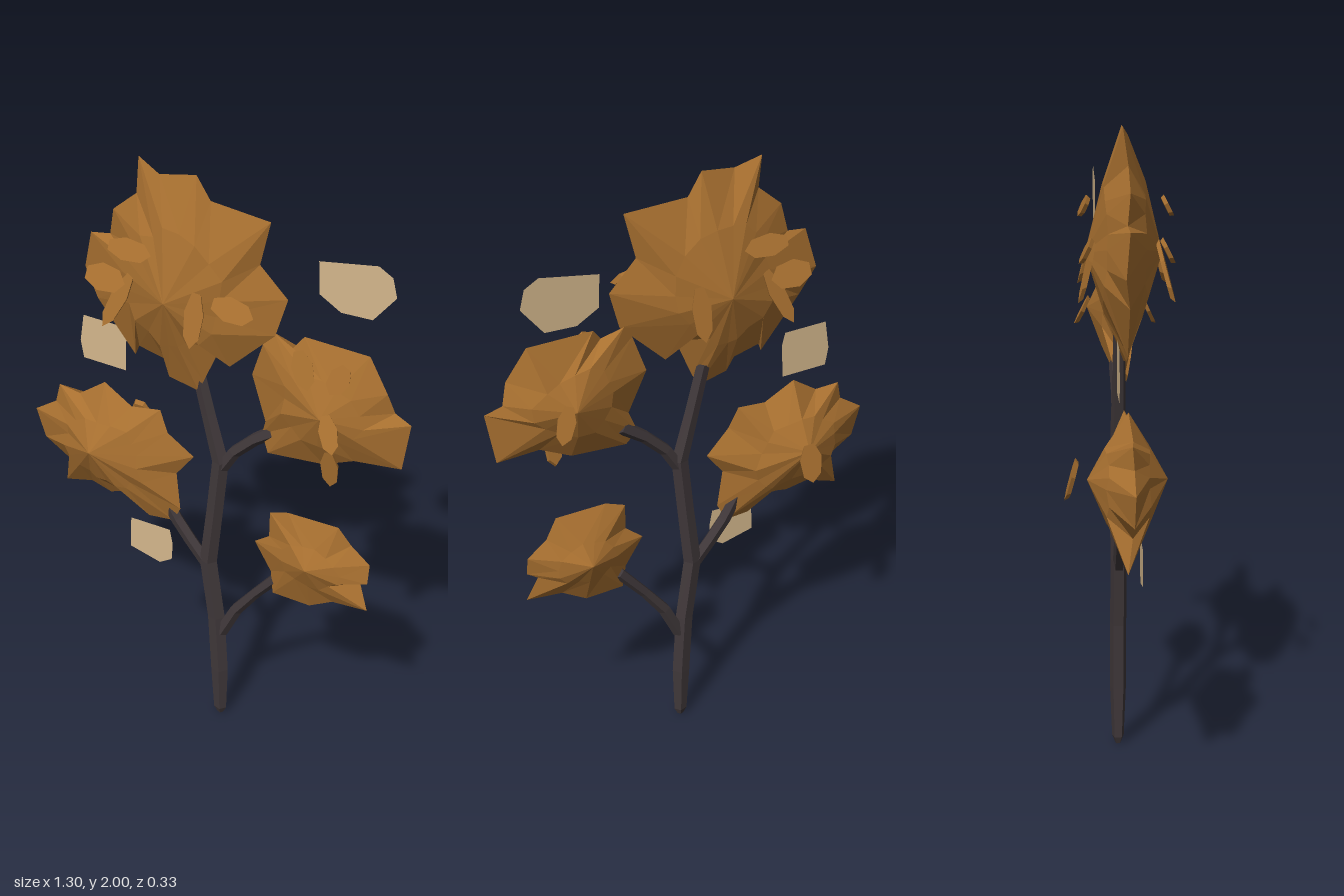
import * as THREE from 'three';

const foliage = new THREE.MeshStandardMaterial({ color: 0xa87030 });
foliage.name = 'amber foliage';
const bark = new THREE.MeshStandardMaterial({ color: 0x40383a });
bark.name = 'dark bark';
const pale = new THREE.MeshStandardMaterial({ color: 0xd4b78c, side: THREE.DoubleSide });
pale.name = 'pale leaf';

const MID_Z = 0.02;

// Small seeded generator for the uneven facets
let seed = 7;
const rand = () => (seed = (seed * 16807) % 2147483647) / 2147483647;

// Flat-faced geometry from a list of triangles made of Vector3 corners
function facets(points) {
  const g = new THREE.BufferGeometry().setFromPoints(points);
  g.computeVertexNormals();
  return g;
}

function add(group, name, geometry, material) {
  const mesh = new THREE.Mesh(geometry, material);
  mesh.name = name;
  group.add(mesh);
  return mesh;
}

// Flat jagged clump: clockwise outline, raised to a peak in front and behind.
// The middle ring follows a smoothed outline so only the rim is jagged.
function clump(outline, apex, front, back) {
  const tris = [];
  const n = outline.length;
  const rim = outline.map(([x, y]) => new THREE.Vector3(x, y, MID_Z + (rand() - 0.5) * 0.02));
  for (const depth of [front, -back]) {
    const peak = new THREE.Vector3(apex[0], apex[1], MID_Z + depth);
    const mid = rim.map((_, i) => {
      const mean = new THREE.Vector3();
      for (let k = -2; k <= 2; k++) mean.addScaledVector(rim[(i + k + n) % n], 0.2);
      const m = peak.clone().lerp(mean, 0.55 + rand() * 0.1);
      m.z = MID_Z + depth * (0.46 + rand() * 0.12);
      return m;
    });
    const put = (a, b, c) => (depth > 0 ? tris.push(a, b, c) : tris.push(a, c, b));
    for (let i = 0; i < n; i++) {
      const j = (i + 1) % n;
      put(peak, mid[j], mid[i]);
      put(mid[i], mid[j], rim[i]);
      put(mid[j], rim[j], rim[i]);
    }
  }
  return facets(tris);
}

// Tapered branch through [x, y, radius] points
function branch(path, sides = 5) {
  const rings = path.map(([x, y, r], i) => {
    const a = path[Math.max(i - 1, 0)], b = path[Math.min(i + 1, path.length - 1)];
    const t = new THREE.Vector2(b[0] - a[0], b[1] - a[1]).normalize();
    return Array.from({ length: sides }, (_, k) => {
      const w = (k / sides) * Math.PI * 2;
      const c = Math.cos(w) * r;
      return new THREE.Vector3(x + t.y * c, y - t.x * c, 0.01 + Math.sin(w) * r * 0.9);
    });
  });
  const tris = [];
  const start = new THREE.Vector3(path[0][0], path[0][1], 0.01);
  const last = path[path.length - 1];
  const end = new THREE.Vector3(last[0], last[1], 0.01);
  for (let k = 0; k < sides; k++) {
    const j = (k + 1) % sides;
    for (let i = 0; i < rings.length - 1; i++) {
      const A = rings[i], B = rings[i + 1];
      tris.push(A[k], B[k], A[j], A[j], B[k], B[j]);
    }
    tris.push(start, rings[0][k], rings[0][j]);
    tris.push(end, rings[rings.length - 1][j], rings[rings.length - 1][k]);
  }
  return facets(tris);
}

// Thin seven-sided leaf between two points, facing outward and a little up
function leaf(from, to, width) {
  const a = new THREE.Vector3(...from), b = new THREE.Vector3(...to);
  const g = new THREE.CylinderGeometry(0.85, 1, 2, 7).rotateX(-Math.PI / 2).toNonIndexed();
  g.scale(width / 2, a.distanceTo(b) / 2, 0.006);
  const dir = b.clone().sub(a).normalize();
  const facing = new THREE.Vector3(0, 0.5, Math.sign(a.z - MID_Z));
  const side = new THREE.Vector3().crossVectors(dir, facing).normalize();
  const out = new THREE.Vector3().crossVectors(side, dir);
  g.applyMatrix4(new THREE.Matrix4().makeBasis(side, dir, out).setPosition(a.add(b).multiplyScalar(0.5)));
  g.computeVertexNormals();
  return g;
}

export function createModel() {
  const tree = new THREE.Group();
  tree.name = 'tree';

  // Trunk and forks
  add(tree, 'trunk', branch([[0.022, 0.005, 0.01], [0.022, 0.03, 0.022], [0.02, 0.2, 0.03],
    [0.008, 0.42, 0.03], [-0.022, 0.64, 0.03], [0.002, 0.85, 0.028], [0.022, 1.04, 0.028],
    [-0.02, 1.2, 0.024], [-0.06, 1.36, 0.022]]), bark);
  add(tree, 'lowerRightBranch', branch([[0.025, 0.36, 0.022], [0.08, 0.475, 0.021], [0.15, 0.57, 0.018], [0.24, 0.68, 0.02]]), bark);
  add(tree, 'leftBranch', branch([[-0.01, 0.6, 0.022], [-0.09, 0.695, 0.022], [-0.14, 0.76, 0.022], [-0.19, 0.85, 0.022]]), bark);
  add(tree, 'upperRightBranch', branch([[0.015, 1.0, 0.022], [0.07, 1.09, 0.021], [0.14, 1.16, 0.021], [0.22, 1.22, 0.024]]), bark);

  // Foliage clumps
  add(tree, 'topFoliage', clump([[-0.25, 2], [-0.17, 1.97], [-0.055, 1.99], [-0.01, 1.92], [0.19, 1.91],
    [0.155, 1.765], [0.245, 1.675], [0.21, 1.55], [0.06, 1.4], [0.03, 1.46], [-0.03, 1.32], [-0.05, 1.28],
    [-0.15, 1.3], [-0.17, 1.35], [-0.26, 1.37], [-0.27, 1.34], [-0.4, 1.5], [-0.45, 1.59], [-0.415, 1.72],
    [-0.35, 1.73], [-0.33, 1.82], [-0.25, 1.89]], [-0.1, 1.62], 0.115, 0.115), foliage);
  add(tree, 'upperRightFoliage', clump([[0.17, 1.51], [0.2, 1.555], [0.27, 1.53], [0.3, 1.57], [0.51, 1.57],
    [0.575, 1.47], [0.595, 1.405], [0.65, 1.385], [0.625, 1.22], [0.48, 1.21], [0.38, 1.16], [0.195, 1.14],
    [0.165, 1.19], [0.185, 1.25], [0.13, 1.39]], [0.4, 1.37], 0.085, 0.095), foliage);
  add(tree, 'leftFoliage', clump([[-0.39, 1.2], [-0.29, 1.145], [-0.19, 1.16], [-0.16, 1.09], [-0.075, 1.02],
    [-0.135, 0.94], [-0.12, 0.81], [-0.15, 0.75], [-0.235, 0.745], [-0.29, 0.8], [-0.335, 0.8], [-0.38, 0.785],
    [-0.455, 0.8], [-0.56, 0.765], [-0.535, 0.865], [-0.625, 0.92], [-0.655, 1.02], [-0.575, 1.075],
    [-0.56, 1.14], [-0.48, 1.135]], [-0.385, 1], 0.115, 0.12), foliage);
  add(tree, 'lowerRightFoliage', clump([[0.205, 0.92], [0.27, 0.945], [0.44, 0.95], [0.48, 0.89], [0.545, 0.84],
    [0.545, 0.775], [0.515, 0.76], [0.55, 0.675], [0.43, 0.66], [0.35, 0.61], [0.22, 0.61], [0.21, 0.69],
    [0.15, 0.785], [0.205, 0.83]], [0.365, 0.8], 0.075, 0.09), foliage);

  // Hanging leaves, on both faces: start, end (x, y, distance from middle), width
  const leaves = [
    [[-0.28, 1.77, 0.12], [-0.13, 1.77, 0.12], 0.068],
    [[-0.365, 1.655, 0.115], [-0.225, 1.65, 0.115], 0.085],
    [[-0.215, 1.68, 0.09], [-0.295, 1.5, 0.135], 0.055],
    [[0, 1.68, 0.085], [0, 1.51, 0.13], 0.065],
    [[0.42, 1.4, 0.085], [0.47, 1.3, 0.13], 0.06],
  ];
  for (const s of [1, -1]) {
    for (const [a, b, w] of leaves) {
      const place = ([x, y, d]) => [x, y, MID_Z + s * d];
      add(tree, 'hangingLeaf', leaf(place(a), place(b), w), foliage);
    }
  }
  add(tree, 'sideLeaf', leaf([0.05, 1.66, 0.115], [0.19, 1.645, 0.115], 0.075), foliage);
  add(tree, 'crownLeaf', leaf([0.3, 1.55, 0.05], [0.35, 1.44, 0.08], 0.07), foliage);
  add(tree, 'crownLeaf', leaf([0.46, 1.54, 0.05], [0.42, 1.45, 0.08], 0.07), foliage);
  add(tree, 'dropLeaf', leaf([0.42, 1.25, 0.07], [0.42, 1.115, 0.05], 0.06), foliage);
  add(tree, 'backLeaf', leaf([-0.36, 1.06, -0.125], [-0.36, 0.93, -0.16], 0.08), foliage);

  // Pale drifting leaves, flat sheets
  const sheets = [
    [-0.05, [[0.305, 1.785], [0.49, 1.82], [0.535, 1.795], [0.55, 1.735], [0.48, 1.645], [0.38, 1.64], [0.31, 1.68]]],
    [-0.01, [[-0.48, 1.4], [-0.335, 1.4], [-0.325, 1.36], [-0.33, 1.245], [-0.485, 1.245], [-0.495, 1.305]]],
    [0.07, [[-0.275, 0.75], [-0.13, 0.755], [-0.12, 0.7], [-0.125, 0.64], [-0.17, 0.61], [-0.28, 0.635]]],
  ];
  for (const [z, pts] of sheets) {
    const shape = new THREE.Shape(pts.map(([x, y]) => new THREE.Vector2(x, y)));
    add(tree, 'driftingLeaf', new THREE.ShapeGeometry(shape), pale).position.z = z;
  }
  return tree;
}
